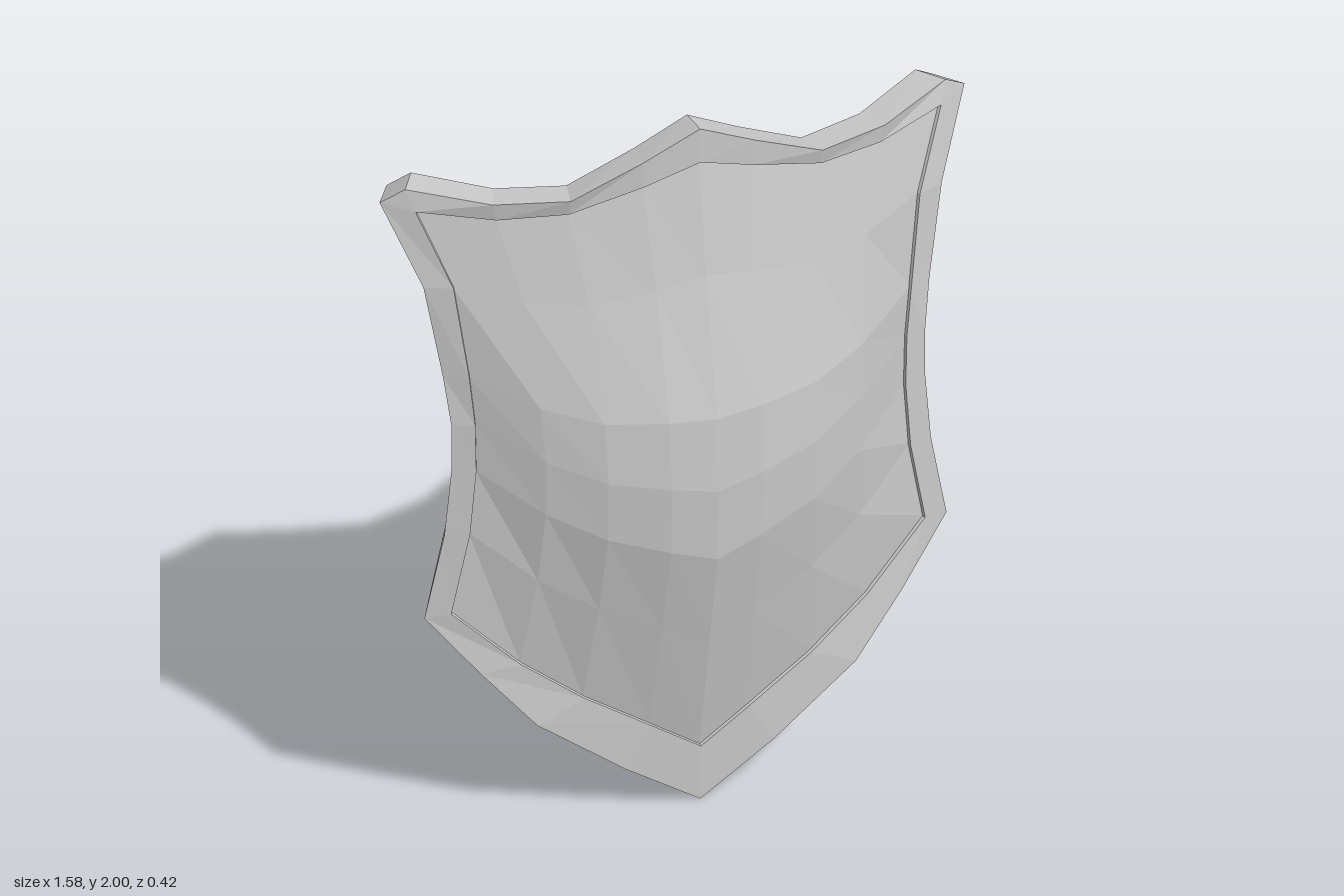
import * as THREE from 'three';

const material = new THREE.MeshStandardMaterial({ color: 0xcccccc, flatShading: true });

// Column fractions from the centre to one side, with the top and bottom edge heights there
const FRAC = [0, 0.21, 0.48, 0.73, 1];
const TOP_Y = [1.9, 1.855, 1.8, 1.795, 1.82];
const LOW_Y = [0.16, 0.25, 0.36, 0.48, 0.645];
// Panel rows: [t from top to bottom, half width, z at the centre, z at the side]
const ROWS = [
  [0, 0.71, 0.065, -0.09],
  [0.18, 0.63, 0.115, -0.03],
  [0.4, 0.597, 0.195, -0.005],
  [0.52, 0.583, 0.207, 0],
  [0.64, 0.58, 0.197, 0],
  [0.8, 0.595, 0.14, -0.005],
  [1, 0.64, 0.07, -0.02],
];

// Point on the bulging panel; column j runs from -4 to 4
function panelPoint(row, j) {
  const [t, width, zMid, zSide] = ROWS[row];
  const k = Math.abs(j);
  const f = FRAC[k];
  return new THREE.Vector3(
    Math.sign(j) * f * width,
    THREE.MathUtils.lerp(TOP_Y[k], LOW_Y[k], t),
    zSide + (zMid - zSide) * (1 - f * f)
  );
}

// Matching point on the back of the curved body
function backOf(p, depth) {
  return new THREE.Vector3(
    p.x * (1 - 0.7 * depth),
    p.y - (p.y - 1) * 0.14 * depth,
    p.z - depth * (1 - 0.1 * Math.abs(p.x))
  );
}

// Surface through a grid of points (rows of columns)
function gridMesh(grid, name) {
  const cols = grid[0].length;
  const index = [];
  for (let i = 0; i < grid.length - 1; i++) {
    for (let k = 0; k < cols - 1; k++) {
      const a = i * cols + k, b = a + cols;
      index.push(a, b, b + 1, a, b + 1, a + 1);
    }
  }
  const geometry = new THREE.BufferGeometry().setFromPoints(grid.flat());
  geometry.setIndex(index);
  const flat = geometry.toNonIndexed();
  flat.computeVertexNormals();
  const mesh = new THREE.Mesh(flat, material);
  mesh.name = name;
  return mesh;
}

// Half of the rim from top centre to bottom tip: [outer x, y, z, panel row, panel column]
const RIM = [
  [0, 2, 0.075, 0, 0],
  [0.15, 1.93, 0.07, 0, 1],
  [0.34, 1.845, 0.05, 0, 2],
  [0.53, 1.845, -0.005, 0, 3],
  [0.73, 1.88, -0.1, 0, 4],
  [0.79, 1.84, -0.125, 0, 4],
  [0.7, 1.61, -0.05, 1, 4],
  [0.657, 1.35, -0.025, 2, 4],
  [0.64, 1.21, -0.01, 3, 4],
  [0.64, 1.07, -0.01, 4, 4],
  [0.657, 0.88, -0.015, 5, 4],
  [0.705, 0.635, -0.03, 6, 4],
  [0.57, 0.465, 0.015, 6, 3],
  [0.43, 0.3, 0.05, 6, 2],
  [0.2, 0.13, 0.07, 6, 1],
  [0, 0, 0.075, 6, 0],
];

// Four-cornered cross-section of the rim on one side
function rimSection([x, y, z, row, j], side) {
  const outer = new THREE.Vector3(side * x, y, z);
  const inner = panelPoint(row, side * j);
  inner.z += 0.01;
  return [outer, backOf(outer, 0.095), backOf(inner, 0.095), inner, outer];
}

export function createModel() {
  const group = new THREE.Group();
  group.name = 'shield';

  // Raised border
  const right = RIM.map((r) => rimSection(r, 1));
  const left = RIM.map((r) => rimSection(r, -1)).reverse();
  group.add(gridMesh([...right, ...left.slice(1)], 'rim'));

  // Bulging panel, front and back skins
  const front = ROWS.map((_, i) => Array.from({ length: 9 }, (_, k) => panelPoint(i, k - 4)));
  const back = front.map((row) => row.map((p) => backOf(p, 0.07)).reverse());
  group.add(gridMesh(front, 'frontPanel'), gridMesh(back, 'backPanel'));

  return group;
}
